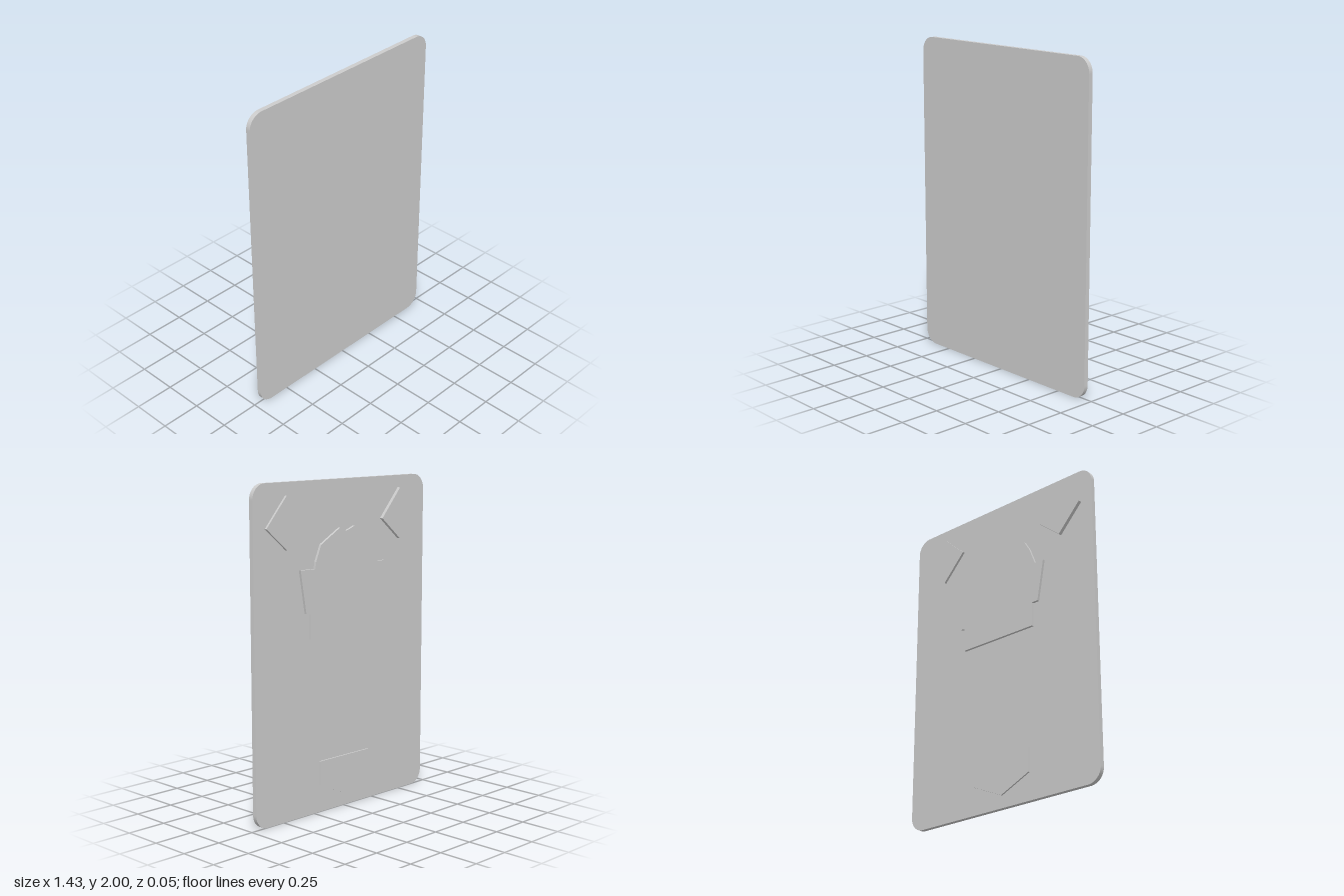
import * as THREE from 'three';

const BACK = -0.003;   // z of the panel's rear face
const FRONT = 0.025;

// Flat plate with the given outline, filling z0..z1
function plate(name, shape, z0, z1) {
  const geometry = new THREE.ExtrudeGeometry(shape, { depth: z1 - z0, bevelEnabled: false, curveSegments: 10 });
  geometry.translate(0, 0, z0);
  const mesh = new THREE.Mesh(geometry, new THREE.MeshStandardMaterial({ color: 0xcccccc }));
  mesh.name = name;
  return mesh;
}

function polygon(points) {
  return new THREE.Shape(points.map(([x, y]) => new THREE.Vector2(x, y)));
}

function roundedRect(w, h, r) {
  const s = new THREE.Shape();
  s.absarc(w / 2 - r, r, r, -Math.PI / 2, 0);
  s.absarc(w / 2 - r, h - r, r, 0, Math.PI / 2);
  s.absarc(-w / 2 + r, h - r, r, Math.PI / 2, Math.PI);
  s.absarc(-w / 2 + r, r, r, Math.PI, Math.PI * 1.5);
  s.closePath();
  return s;
}

export function createModel() {
  const group = new THREE.Group();
  group.name = 'backedPanel';

  // Main board with rounded corners
  group.add(plate('panel', roundedRect(1.434, 2, 0.09), BACK, FRONT));

  // Tilted rectangular pads near the upper corners of the back
  for (const [name, x, z] of [['leftPad', 0.47, -0.018], ['rightPad', -0.478, -0.025]]) {
    const pad = polygon([[x, 1.925], [x - 0.158, 1.782], [x, 1.612], [x + 0.158, 1.745]]);
    group.add(plate(name, pad, z, BACK));
  }

  // Stepped, domed plate in the upper middle of the back
  group.add(plate('domedPlate', polygon([
    [0.287, 1.075], [0.287, 1.222], [0.322, 1.23], [0.366, 1.488], [0.248, 1.486],
    [0.241, 1.527], [0.199, 1.625], [0.043, 1.713], [-0.012, 1.692], [-0.043, 1.702],
    [-0.08, 1.717], [-0.203, 1.66], [-0.242, 1.595], [-0.284, 1.488], [-0.348, 1.488],
    [-0.301, 1.228], [-0.257, 1.228], [-0.257, 1.075],
  ]), -0.019, BACK));

  // Five-sided plate low on the back
  group.add(plate('lowerPlate', polygon([
    [0.205, 0.318], [-0.215, 0.318], [-0.215, 0.17], [-0.008, 0.076], [0.205, 0.17],
  ]), -0.013, BACK));

  return group;
}
